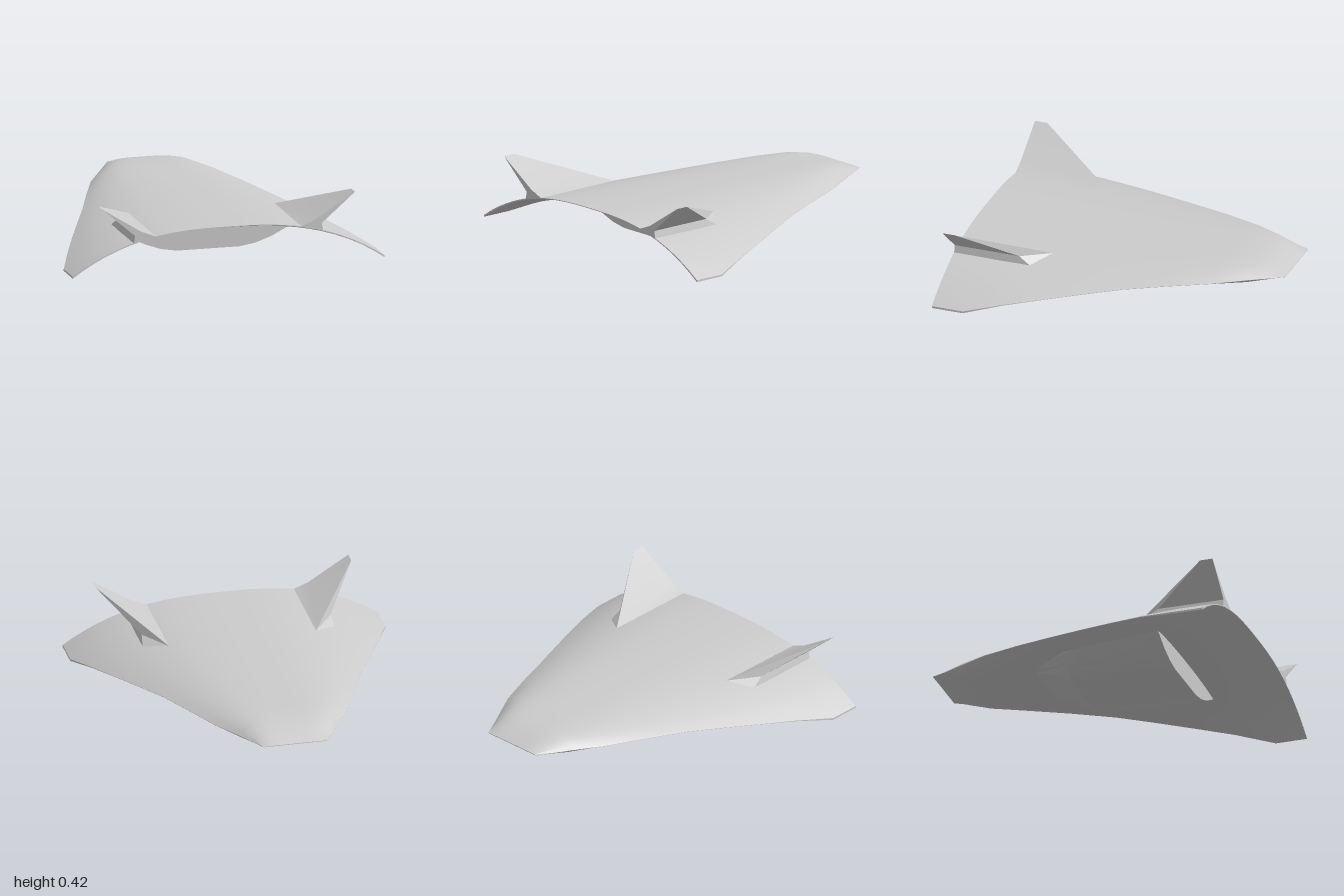
import * as THREE from 'three';
import { toCreasedNormals } from 'three/addons/utils/BufferGeometryUtils.js';

const grey = new THREE.MeshStandardMaterial({ color: 0xcccccc });

// Skin a list of closed rings (counter-clockwise seen from +z, ordered -z to +z) and cap both ends
function loft(name, rings, crease) {
  const n = rings[0].length;
  const index = [];
  const quad = (a, b, c, d) => index.push(a, b, c, a, c, d);
  for (let i = 0; i < rings.length - 1; i++) {
    for (let j = 0; j < n; j++) {
      const k = (j + 1) % n;
      quad(i * n + j, i * n + k, (i + 1) * n + k, (i + 1) * n + j);
    }
  }
  const last = (rings.length - 1) * n;
  for (let j = 0; j < (n - 1) / 2; j++) {
    const [a, b, c, d] = [j, j + 1, n - 2 - j, n - 1 - j];
    quad(d, c, b, a);
    quad(last + a, last + b, last + c, last + d);
  }
  const geo = new THREE.BufferGeometry();
  geo.setAttribute('position', new THREE.Float32BufferAttribute(rings.flat(2), 3));
  geo.setIndex(index);
  const mesh = new THREE.Mesh(toCreasedNormals(geo, crease), grey);
  mesh.name = name;
  return mesh;
}

// Lifting body: arched top and underside meeting along the leading edge
function liftingBody() {
  // z, half width, edge y, top centre y, bottom centre y, arch exponent, edge thickness
  const stations = [
    [-1, 0.2, 0.195, 0.197, 0.193, 5, 0.002],
    [-0.9, 0.25, 0.19, 0.235, 0.155, 5, 0.002],
    [-0.78, 0.315, 0.187, 0.258, 0.125, 4.5, 0.002],
    [-0.6, 0.415, 0.18, 0.26, 0.125, 3.8, 0.002],
    [-0.35, 0.515, 0.166, 0.26, 0.125, 3.2, 0.002],
    [-0.1, 0.61, 0.145, 0.26, 0.127, 2.9, 0.002],
    [0.12, 0.705, 0.118, 0.26, 0.132, 2.8, 0.002],
    [0.34, 0.8, 0.088, 0.26, 0.14, 2.7, 0.002],
    [0.57, 0.895, 0.055, 0.26, 0.153, 2.7, 0.004],
    [0.8, 0.985, 0.012, 0.26, 0.203, 2.7, 0.012],
    [1, 0.985, 0.012, 0.26, 0.256, 2.7, 0.012],
  ];
  const steps = 28;
  const rings = stations.map(([z, w, edge, top, bottom, p, t]) => {
    const ring = [];
    const arch = (u, from, to) => ring.push([u * w, from + (to - from) * (1 - Math.abs(u) ** p), z]);
    for (let j = 0; j <= steps; j++) arch(1 - (2 * j) / steps, edge, top);
    for (let j = 0; j <= steps; j++) arch((2 * j) / steps - 1, edge - t, bottom);
    return ring;
  });
  return loft('liftingBody', rings, 0.6);
}

// Belly pod: half sections from the flat keel outward, mirrored
function bellyPod() {
  const sections = [
    [-0.34, [[0.12, 0.124], [0.15, 0.126], [0.18, 0.128], [0.22, 0.132], [0.22, 0.16]]],
    [-0.1, [[0.18, 0.013], [0.26, 0.035], [0.33, 0.08], [0.4, 0.128], [0.4, 0.165]]],
    [0.2, [[0.19, 0.013], [0.29, 0.03], [0.38, 0.068], [0.49, 0.134], [0.48, 0.165]]],
    [0.555, [[0.2, 0.013], [0.3, 0.03], [0.4, 0.065], [0.54, 0.137], [0.5, 0.17]]],
  ];
  const rings = sections.map(([z, half]) => [
    ...half.map(([x, y]) => [x, y, z]),
    ...half.map(([x, y]) => [-x, y, z]).reverse(),
  ]);
  return loft('bellyPod', rings, 0.35);
}

// Canted tail fin on a raised root, swept to a point at the front
function tailFin(name) {
  const front = [[0.6, 0.195, 0.51], [0.59, 0.24, 0.58], [0.8, 0.422, 0.92], [0.46, 0.23, 0.41], [0.46, 0.23, 0.41]];
  const rear = [[0.6, 0.19, 1], [0.59, 0.24, 1], [0.8, 0.422, 1], [0.55, 0.264, 1], [0.46, 0.228, 1]];
  return loft(name, [front, rear], 0.2);
}

export function createModel() {
  const model = new THREE.Group();
  model.name = 'liftingBodyCraft';
  const rightFin = tailFin('rightTailFin');
  rightFin.scale.x = -1;
  model.add(liftingBody(), bellyPod(), tailFin('leftTailFin'), rightFin);
  return model;
}
